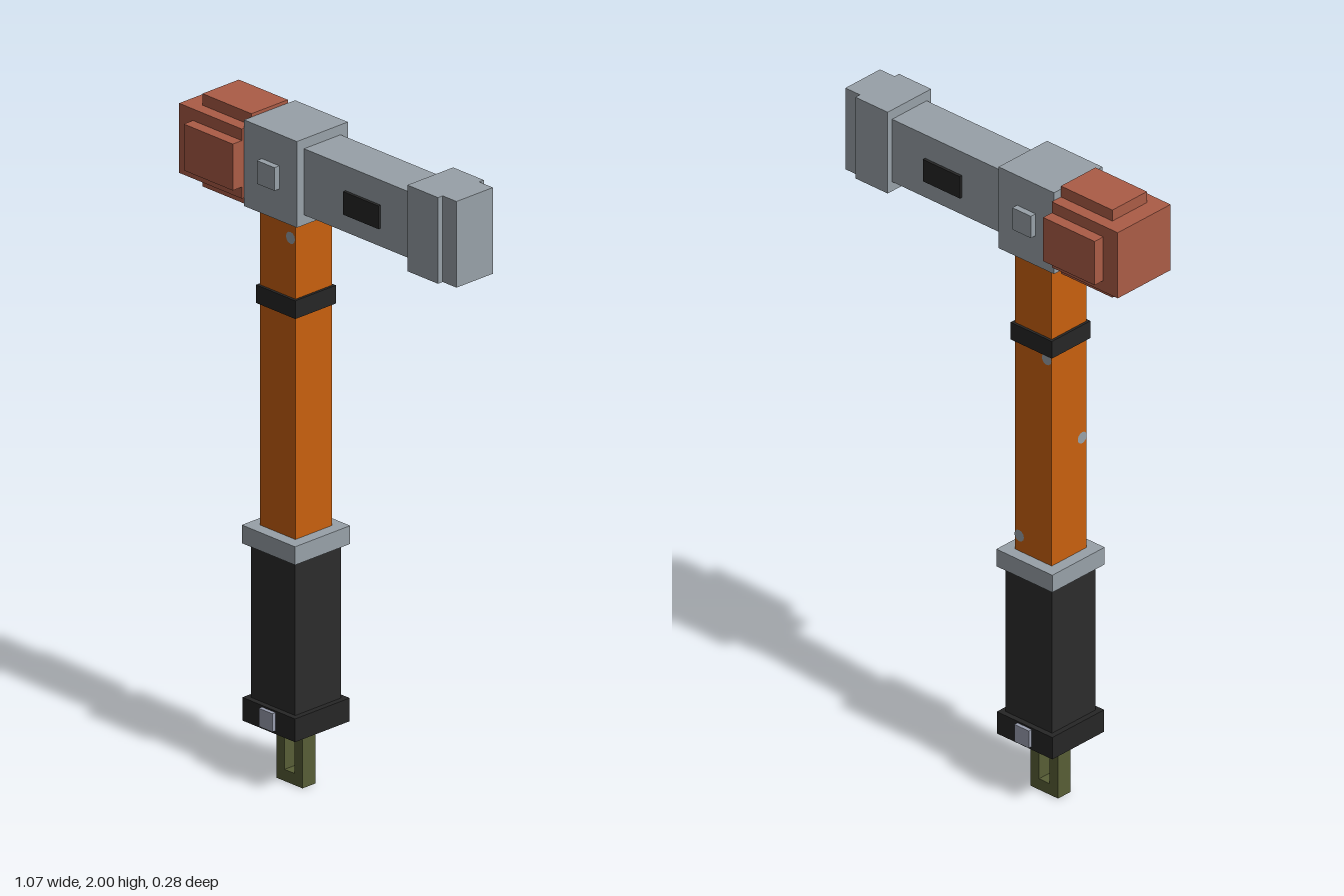
import * as THREE from 'three';

const mat = (name, color) => {
  const m = new THREE.MeshStandardMaterial({ color });
  m.name = name;
  return m;
};

export function createModel() {
  const steel = mat('steel grey', 0x98a1a8);
  const paleSteel = mat('pale steel', 0x9a9fb0);
  const orange = mat('orange', 0xc8600e);
  const rubber = mat('black rubber', 0x2c2c2c);
  const black = mat('black', 0x262626);
  const red = mat('brick red', 0xab5c46);
  const olive = mat('olive cord', 0x585e36);

  const group = new THREE.Group();
  group.name = 'hammer';
  const axis = -0.18; // x of the handle

  // Box from its limits in x and y, and its half depth in z
  const box = (name, m, x0, x1, y0, y1, hz, z = 0) => {
    const mesh = new THREE.Mesh(new THREE.BoxGeometry(x1 - x0, y1 - y0, hz * 2), m);
    mesh.position.set((x0 + x1) / 2, (y0 + y1) / 2, z);
    mesh.name = name;
    group.add(mesh);
  };
  // Square block around the handle axis
  const block = (name, m, half, y0, y1) => box(name, m, axis - half, axis + half, y0, y1, half);

  // Handle, from the bottom up
  block('pommel', black, 0.105, 0.18, 0.25);
  block('grip', rubber, 0.088, 0.25, 0.715);
  block('gripRing', steel, 0.106, 0.715, 0.77);
  block('shaft', orange, 0.07, 0.77, 1.73);
  block('shaftBand', black, 0.078, 1.44, 1.495);

  // Wrist loop
  box('loopRight', olive, -0.232, -0.2, 0, 0.18, 0.025);
  box('loopLeft', olive, -0.16, -0.128, 0, 0.18, 0.025);
  box('loopBottom', olive, -0.2, -0.16, 0, 0.035, 0.025);

  // Head: collar, arm and striking face
  box('collar', steel, -0.285, -0.075, 1.73, 1.99, 0.098);
  box('arm', steel, -0.075, 0.355, 1.76, 1.96, 0.07);
  box('faceBlock', steel, 0.355, 0.477, 1.73, 1.99, 0.088);
  box('strikingFace', steel, 0.477, 0.532, 1.73, 1.99, 0.07);

  // Soft end: core with crossed slabs
  box('softCore', red, -0.535, -0.285, 1.755, 1.965, 0.107);
  box('softSlabWide', red, -0.48, -0.285, 1.79, 1.93, 0.142);
  box('softSlabTall', red, -0.48, -0.285, 1.72, 2.0, 0.07);

  // Details repeated on front and back
  for (const s of [1, -1]) {
    box('collarStud', steel, -0.215, -0.145, 1.825, 1.895, 0.0095, s * 0.1075);
    box('armPlate', black, 0.09, 0.23, 1.815, 1.885, 0.0045, s * 0.0745);
    box('pommelStud', paleSteel, -0.207, -0.153, 0.19, 0.245, 0.006, s * 0.111);
  }

  // Worn spots on the shaft: offset x, y, offset z, turn about y
  const spots = [
    [0.052, 1.675, 0.0715, 0],
    [-0.052, 1.425, -0.0715, Math.PI],
    [0.052, 0.82, -0.0715, Math.PI],
    [-0.0715, 1.13, 0.052, -Math.PI / 2],
  ];
  for (const [x, y, z, turn] of spots) {
    const spot = new THREE.Mesh(new THREE.CircleGeometry(0.018, 12), steel);
    spot.position.set(axis + x, y, z);
    spot.rotation.y = turn;
    spot.name = 'wornSpot';
    group.add(spot);
  }

  return group;
}
